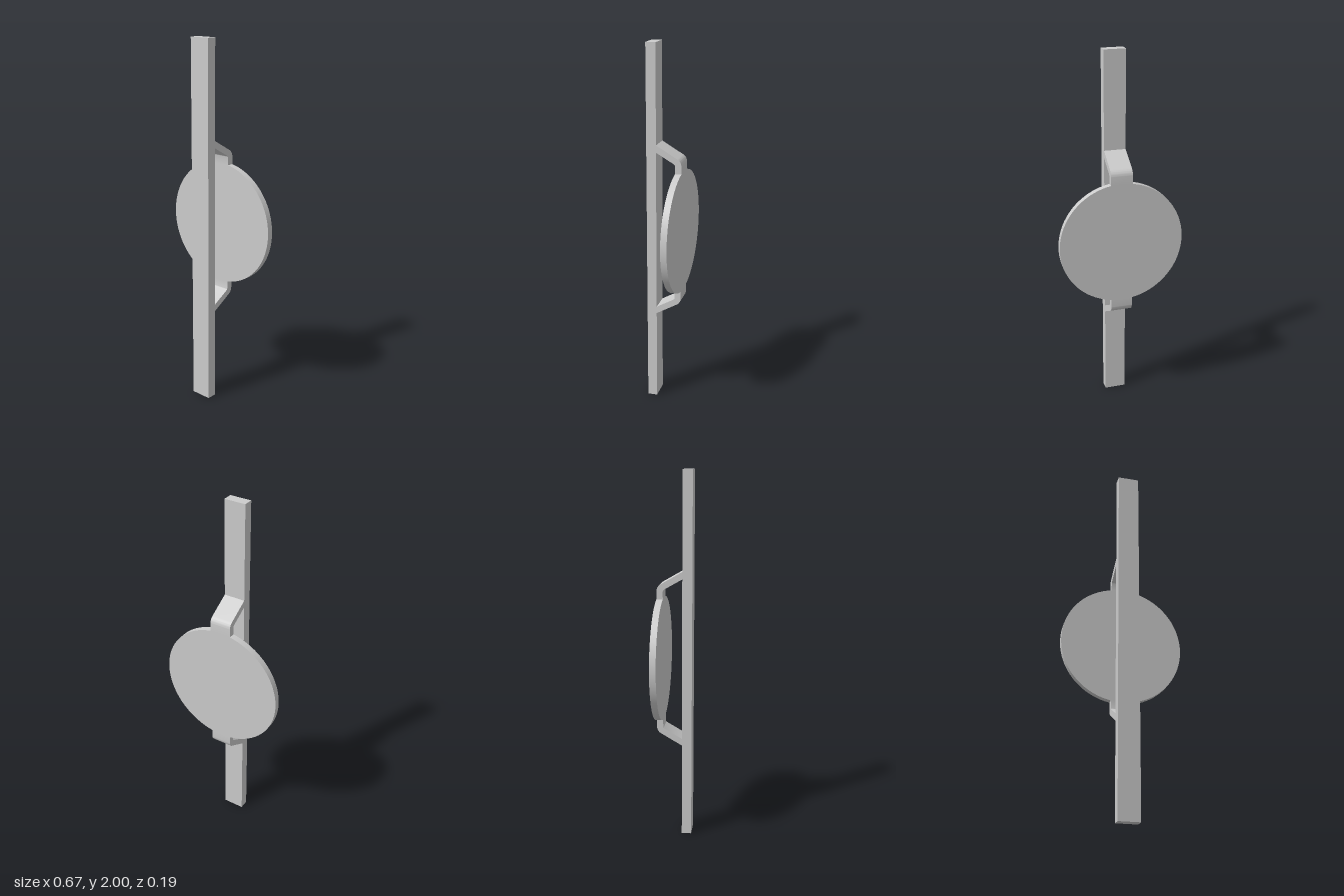
import * as THREE from 'three';
import { toCreasedNormals } from 'three/addons/utils/BufferGeometryUtils.js';

export function createModel() {
  const model = new THREE.Group();
  model.name = 'barHandleWithDisc';
  const material = new THREE.MeshStandardMaterial({ color: 0xcccccc });
  const width = 0.117, radius = 0.337;
  const front = 0.095, barBack = 0.042, discFront = -0.061, back = -0.095;

  const add = (name, geometry, y, z) => {
    const mesh = new THREE.Mesh(geometry, material);
    mesh.name = name;
    mesh.position.set(0, y, z);
    model.add(mesh);
    return mesh;
  };

  // Long upright bar
  add('bar', new THREE.BoxGeometry(width, 2, front - barBack), 1, (front + barBack) / 2);

  // Round plate behind the bar
  const disc = new THREE.CylinderGeometry(radius, radius, discFront - back, 96);
  disc.rotateX(Math.PI / 2);
  add('disc', disc, 1, (discFront + back) / 2);

  // Bent strap from bar to plate; side profile with x = -z, y measured from the plate centre
  const chord = Math.sqrt(radius ** 2 - (width / 2) ** 2);
  const profile = new THREE.Shape();
  profile.moveTo(-barBack, 0.439);
  profile.lineTo(0.054, 0.384);
  profile.quadraticCurveTo(-discFront, 0.38, -discFront, 0.372);
  profile.lineTo(-discFront, chord);
  profile.lineTo(-back, chord);
  profile.lineTo(-back, 0.372);
  profile.quadraticCurveTo(-back, 0.399, 0.072, 0.412);
  profile.lineTo(-barBack, 0.478);
  profile.closePath();

  let strap = new THREE.ExtrudeGeometry(profile, { depth: width, bevelEnabled: false, curveSegments: 10 });
  strap.translate(0, 0, -width / 2);
  strap.rotateY(Math.PI / 2);
  strap = toCreasedNormals(strap, 0.5);
  add('upperBracket', strap, 1, 0);
  add('lowerBracket', strap, 1, 0).rotation.z = Math.PI;

  return model;
}
